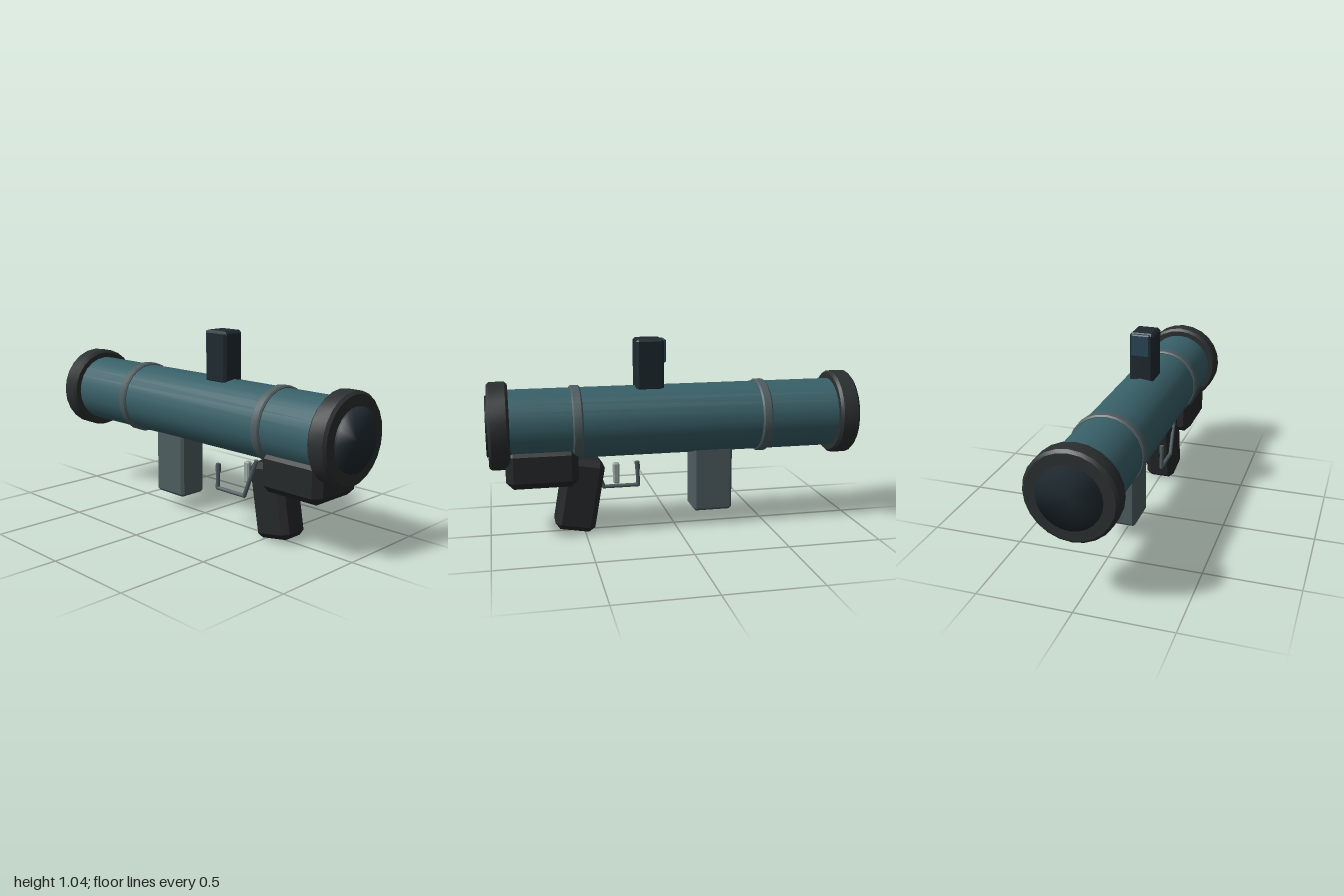
import * as THREE from 'three';
import { toCreasedNormals } from 'three/addons/utils/BufferGeometryUtils.js';
import { ConvexGeometry } from 'three/addons/geometries/ConvexGeometry.js';

const AXIS_Y = 0.605; // height of the barrel axis
const mat = (color) => new THREE.MeshStandardMaterial({ color });
const teal = mat(0x386068), rubber = mat(0x2b2f30), gripBlack = mat(0x25282a), steel = mat(0x4e5d60);
const dark = mat(0x1e292f), glass = mat(0x294556), light = mat(0x98a6a4);

export function createModel() {
  const model = new THREE.Group();

  const add = (name, geometry, material, x = 0, y = 0, z = 0) => {
    const mesh = new THREE.Mesh(geometry, material);
    mesh.name = name;
    mesh.position.set(x, y, z);
    model.add(mesh);
    return mesh;
  };

  // Solid of revolution along z from [radius, z] pairs
  const turned = (points) =>
    new THREE.LatheGeometry(points.map(([r, z]) => new THREE.Vector2(r, z)), 24).rotateX(Math.PI / 2);

  // Ring of outer radius r, inner radius ri, half width h, with chamfer c
  const ring = (r, ri, h, c) =>
    toCreasedNormals(turned([[ri, -h], [r - c, -h], [r, -h + c], [r, h - c], [r - c, h], [ri, h]]), 0.6);

  // Box with every edge and corner cut by c
  const chamferBox = (w, h, d, c) => {
    const half = [w / 2, h / 2, d / 2];
    const points = [];
    for (const sx of [-1, 1]) for (const sy of [-1, 1]) for (const sz of [-1, 1])
      for (let full = 0; full < 3; full++) {
        const [x, y, z] = half.map((v, i) => (i === full ? v : v - c));
        points.push(new THREE.Vector3(sx * x, sy * y, sz * z));
      }
    return new ConvexGeometry(points);
  };

  // Round rod between two points
  const rod = (name, a, b, r, material) => {
    const dir = b.clone().sub(a);
    const mesh = add(name, new THREE.CylinderGeometry(r, r, dir.length(), 8), material);
    mesh.position.copy(a).add(b).multiplyScalar(0.5);
    mesh.quaternion.setFromUnitVectors(new THREE.Vector3(0, 1, 0), dir.normalize());
  };

  // Barrel and the dark plugs showing at both ends
  add('barrel', new THREE.CylinderGeometry(0.188, 0.188, 1.9, 24, 1, true).rotateX(Math.PI / 2), teal, 0, AXIS_Y);
  add('bore', turned([[0, -1], [0.16, -1], [0.16, 1], [0, 1]]), dark, 0, AXIS_Y);

  // End collars and clamp bands
  for (const s of [-1, 1]) add('endCollar', ring(0.231, 0.15, 0.054, 0.014), rubber, 0, AXIS_Y, s * 0.936);
  for (const z of [0.536, -0.478]) add('clampBand', ring(0.2, 0.18, 0.027, 0.008), steel, 0, AXIS_Y, z);

  // Sight block with rear lens
  add('sightBlock', chamferBox(0.134, 0.275, 0.15, 0.014), dark, 0, 0.9075, 0.139);
  add('sightLens', chamferBox(0.1, 0.122, 0.03, 0.006), glass, 0, 0.979, 0.066);

  // Trigger housing, raked pistol grip and rear handle
  add('triggerHousing', chamferBox(0.32, 0.215, 0.374, 0.038), gripBlack, 0, 0.3975, 0.722);
  add('pistolGrip', chamferBox(0.168, 0.395, 0.216, 0.03), gripBlack, 0, 0.216, 0.524)
    .rotation.x = -THREE.MathUtils.degToRad(10);
  add('rearHandle', chamferBox(0.168, 0.37, 0.216, 0.014), steel, 0, 0.277, -0.203);

  // Trigger and its side guard
  add('trigger', chamferBox(0.034, 0.115, 0.034, 0.007), light, 0, 0.315, 0.321);
  const guard = [[0.42, 0.46], [0.215, 0.378], [0.215, 0.185], [0.35, 0.19]]
    .map(([y, z]) => new THREE.Vector3(-0.087, y, z));
  for (let i = 0; i < 3; i++) rod('triggerGuard', guard[i], guard[i + 1], 0.011, steel);
  for (const p of guard.slice(1, 3))
    add('guardCorner', new THREE.SphereGeometry(0.011, 8, 6), steel, p.x, p.y, p.z);
  rod('guardTip', new THREE.Vector3(-0.087, 0.305, 0.188), guard[3], 0.014, steel);

  return model;
}
